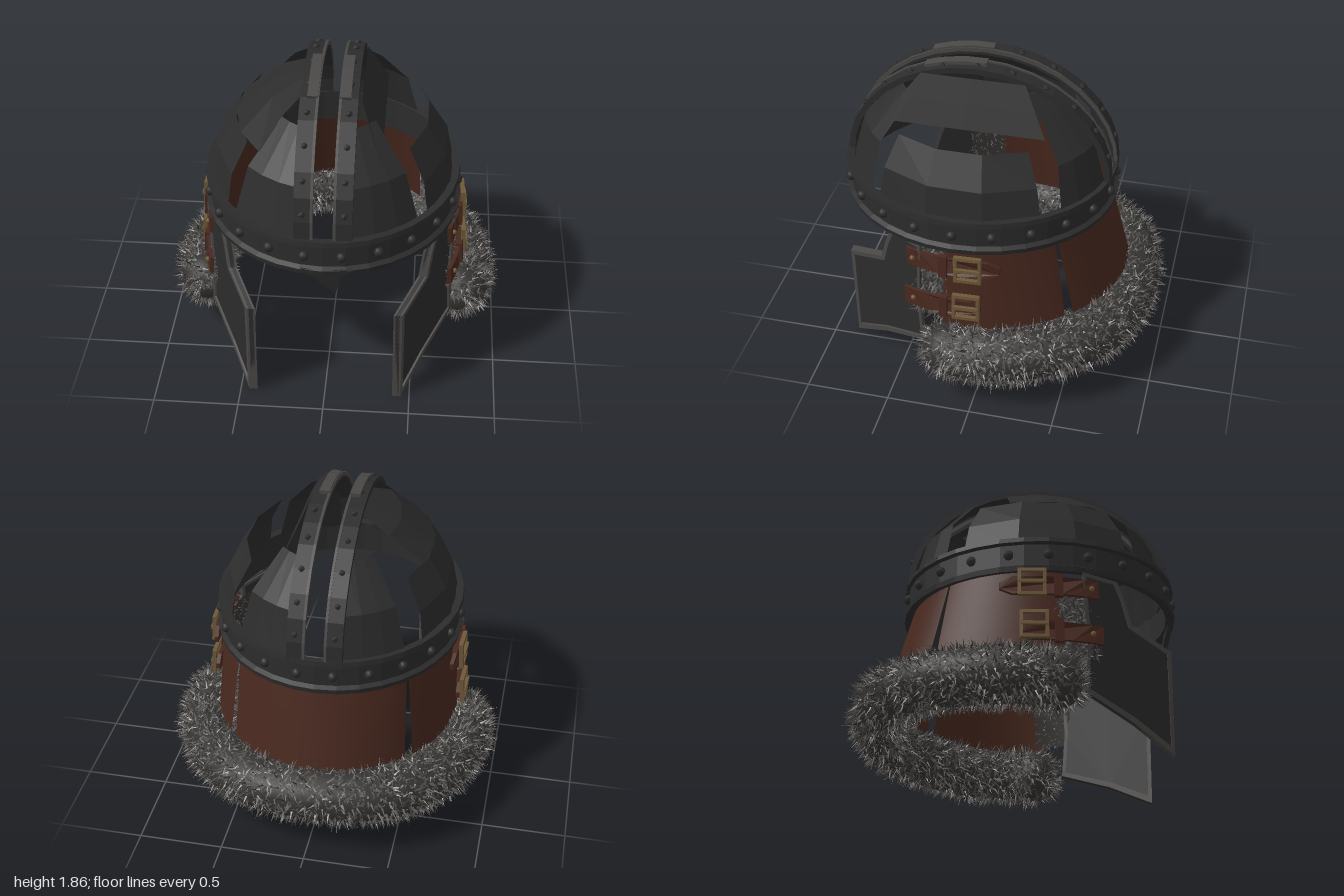
import * as THREE from 'three';
import { ParametricGeometry } from 'three/addons/geometries/ParametricGeometry.js';

const mat = (name, color, side = THREE.FrontSide) => {
  const m = new THREE.MeshStandardMaterial({ color, side });
  m.name = name;
  return m;
};
const rad = THREE.MathUtils.degToRad;

export function createModel() {
  const model = new THREE.Group();
  model.name = 'helmet';
  const iron = mat('dark iron', 0x2c2c2c, THREE.DoubleSide);
  const worn = mat('worn iron edge', 0x4a4846);
  const leather = mat('brown leather', 0x47281e, THREE.DoubleSide);
  const brass = mat('aged brass', 0x6e5838);
  const furDark = mat('dark fur', 0x353331, THREE.DoubleSide);
  const furGrey = mat('grey fur', 0x5a5754, THREE.DoubleSide);
  const furPale = mat('pale fur tips', 0xa5a29e, THREE.DoubleSide);

  const add = (name, geo, material, parent = model) => {
    const mesh = new THREE.Mesh(geo, material);
    mesh.name = name;
    parent.add(mesh);
    return mesh;
  };
  const faceted = (g) => {
    const f = g.index ? g.toNonIndexed() : g;
    f.computeVertexNormals();
    return f;
  };
  const surface = (fn, nu, nv) => new ParametricGeometry(fn, nu, nv);

  // Plate drawn as (z, y) points on the -x side; xAt gives its inner distance from the middle
  const sidePlate = (pts, depth, xAt, hole) => {
    const shape = new THREE.Shape(pts.map((p) => new THREE.Vector2(...p)));
    if (hole) shape.holes.push(new THREE.Path(hole.map((p) => new THREE.Vector2(...p))));
    const g = new THREE.ExtrudeGeometry(shape, { depth, bevelEnabled: false });
    const p = g.attributes.position;
    for (let i = 0; i < p.count; i++) {
      const z = p.getX(i), y = p.getY(i), w = p.getZ(i);
      p.setXYZ(i, -(xAt(z, y) + w), y, z);
    }
    return faceted(g);
  };

  // Dome plates: faceted patches with open seams between them
  const dome = (deg, e) => {
    const a = rad(deg), s = Math.cos(e * Math.PI / 2);
    return new THREE.Vector3(0.71 * s ** 1.3 * Math.sin(a),
      1.17 + 0.67 * Math.sin(e * Math.PI / 2), 0.14 + 0.78 * s * Math.cos(a));
  };
  const domePlate = (name, a0, a1, e0, e1, taper0, taper1) =>
    add(name, faceted(surface((u, v, t) => {
      const lo = a0 + taper0 * v, hi = a1 - taper1 * v;
      t.copy(dome(lo + (hi - lo) * u, e0 + (e1 - e0) * v));
    }, 3, 2)), iron);
  for (const s of [1, -1]) {
    const range = (a, b) => (s > 0 ? [a, b] : [-b, -a]);
    domePlate('frontDomePlate', ...range(12, 46), 0, 0.58, 3, 3);
    domePlate('sideDomePlate', ...range(52, 127), 0, 0.38, 2, 2);
    domePlate('backDomePlate', ...range(137, 168), 0, 0.55, 3, 3);
  }
  domePlate('upperDomePlateRight', -108, -42, 0.38, 0.82, -18, 2);
  // The steep upper plate on the left side stands inside the plates below it
  add('upperDomePlateLeft', faceted(surface((u, v, t) => t.set(0.3 - 0.12 * v,
    1.53 + 0.27 * v, (0.68 - 0.22 * v) - u * (0.97 - 0.36 * v)), 2, 2)), iron);

  // Twin crest ribs with a slit between them
  const arc = (rz, ry, from = 0, to = 1, n = 16) => Array.from({ length: n + 1 }, (_, i) => {
    const a = (from + (to - from) * i / n) * Math.PI;
    return [0.14 + rz * Math.cos(a), 1.17 + ry * Math.sin(a)];
  });
  const ribShape = [...arc(0.795, 0.685), ...arc(0.76, 0.65).reverse()];
  const lipShape = [...arc(0.8, 0.695), ...arc(0.78, 0.67).reverse()];
  const capShape = [...arc(0.8, 0.705, 0.37, 0.52, 3), ...arc(0.78, 0.68, 0.37, 0.52, 3).reverse()];
  for (const s of [1, -1]) {
    const rib = new THREE.Group();
    rib.name = 'crestRib';
    rib.scale.x = s;
    model.add(rib);
    add('ribStrip', sidePlate(ribShape, 0.1, () => 0.06), iron, rib);
    add('ribLip', sidePlate(lipShape, 0.015, () => 0.055), worn, rib);
    add('ribCap', sidePlate(capShape, 0.06, () => 0.06), worn, rib);
    for (let i = 1; i < 12; i++) {
      const a = i / 12 * Math.PI;
      add('ribRivet', new THREE.IcosahedronGeometry(0.02, 0), iron, rib)
        .position.set(-0.115, 1.17 + 0.685 * Math.sin(a), 0.14 + 0.795 * Math.cos(a));
    }
  }

  // Brow band: closed ring section swept round an oval
  const section = [[-0.03, 1.0], [0.02, 0.99], [0.025, 1.02], [0.0, 1.035], [0.0, 1.165],
    [0.02, 1.175], [0.015, 1.205], [-0.03, 1.2], [-0.03, 1.0]];
  const bandPoint = (a, r, y) =>
    new THREE.Vector3((0.725 + r) * Math.sin(a), y, 0.15 + (0.8 + r) * Math.cos(a));
  add('browBand', faceted(surface((u, v, t) => {
    const [r, y] = section[Math.round(v * 8)];
    t.copy(bandPoint(u * Math.PI * 2, r, y));
  }, 36, 8)), iron);
  for (let i = 0; i < 22; i++) {
    const a = (i + 0.5) / 22 * Math.PI * 2;
    add('bandRivet', new THREE.SphereGeometry(0.03, 7, 5), iron)
      .position.copy(bandPoint(a, 0.004, 1.1));
  }

  // Pointed nose guard under the band
  const nose = new THREE.Shape([[-0.12, 1.03], [-0.04, 0.95], [0.07, 0.83], [0.1, 0.98], [0.16, 1.03]]
    .map((p) => new THREE.Vector2(...p)));
  const noseMesh = add('noseGuard', new THREE.ExtrudeGeometry(nose,
    { depth: 0.03, bevelEnabled: false }), iron);
  noseMesh.geometry.translate(0, -1.0, 0);
  noseMesh.position.set(0, 1.0, 0.93);
  noseMesh.rotation.x = 0.2;

  // Leather neck guard, flaring downward round the back, in three pieces with open seams
  const neck = (deg, v, out = 0) => {
    const a = rad(deg), back = (1 - Math.cos(a)) / 2;
    const low = 0.37 + 0.13 * back;
    return new THREE.Vector3((0.70 + 0.05 * v + out) * Math.sin(a), 1.0 + (low - 1.0) * v,
      0.1 + (0.72 + 0.14 * v + out) * Math.cos(a));
  };
  for (const [a0, a1, open0, open1] of [[82, 134, 0, 1], [135, 225, 1, 1], [226, 278, 1, 0]])
    add('neckGuard', surface((u, v, t) => {
      const gap = 1.6 * (1 - v), lo = a0 + open0 * gap, hi = a1 - open1 * gap;
      t.copy(neck(lo + (hi - lo) * u, 1 - v));
    }, 14, 3), leather);

  // Cheek guards, straps and buckles: made for one side and mirrored
  const cheekX = (z) => 0.66 - 0.54 * (z - 0.4);
  const cheek = [[0.34, 0.99], [0.36, 0.55], [0.34, 0.27], [0.62, 0.15], [0.86, 0.01],
    [0.87, 0.64], [0.63, 0.74], [0.59, 0.88], [0.55, 0.99]];
  const inner = [[0.36, 0.97], [0.38, 0.55], [0.36, 0.29], [0.63, 0.18], [0.84, 0.06],
    [0.845, 0.62], [0.61, 0.72], [0.57, 0.87], [0.53, 0.97]];
  const strapX = (z, y) => 0.735 + (0.95 - y) * 0.06 - 0.5 * (z - 0.1) ** 2;
  const strapOutline = (z0, z1, y, h) => {
    const top = [], bottom = [];
    for (let i = 0; i <= 8; i++) {
      const z = z0 + (z1 - z0) * i / 8;
      const half = h / 2 * (i === 0 ? 0.35 : 1);
      top.push([z, y + half]);
      bottom.unshift([z, y - half]);
    }
    return [...top, ...bottom];
  };
  const rect = (z, y, w, h) => [[z - w, y - h], [z + w, y - h], [z + w, y + h], [z - w, y + h]];
  for (const s of [1, -1]) {
    const side = new THREE.Group();
    side.name = s > 0 ? 'rightFittings' : 'leftFittings';
    side.scale.x = s;
    model.add(side);
    add('cheekGuard', sidePlate(cheek, 0.025, cheekX), iron, side);
    add('cheekRim', sidePlate(cheek, 0.05, (z) => cheekX(z) - 0.012, inner), worn, side);
    for (const [z0, z1, y, zb, yb] of [[-0.13, 0.43, 0.89, 0.05, 0.9], [-0.02, 0.45, 0.605, 0.06, 0.635]]) {
      add('strap', sidePlate(strapOutline(z0, z1, y, 0.11), 0.022, strapX), leather, side);
      add('strapLoop', sidePlate(rect(0.2, y, 0.025, 0.07), 0.035, strapX), leather, side);
      add('buckle', sidePlate(rect(zb, yb, 0.08, 0.085), 0.025, (z, yy) => strapX(z, yy) + 0.025,
        rect(zb, yb, 0.062, 0.066)), brass, side);
      add('bucklePin', sidePlate(rect(zb, yb, 0.075, 0.01), 0.02, (z, yy) => strapX(z, yy) + 0.04), brass, side);
      add('strapStud', new THREE.SphereGeometry(0.016, 7, 5), brass, side)
        .position.set(-strapX(0.39, y) - 0.025, y, 0.39);
    }
  }

  // Fur roll along the hem, with rounded ends
  const half = [[0.79, 0.3, 0.17], [0.82, 0.31, 0.0], [0.77, 0.32, -0.27], [0.62, 0.335, -0.54],
    [0.36, 0.35, -0.74]];
  const path = new THREE.CatmullRomCurve3([
    ...half.map((p) => new THREE.Vector3(...p)), new THREE.Vector3(0, 0.355, -0.8),
    ...half.map(([x, y, z]) => new THREE.Vector3(-x, y, z)).reverse()]);
  add('furRoll', new THREE.TubeGeometry(path, 60, 0.155, 14), furDark);
  for (const s of [1, -1])
    add('furRollEnd', new THREE.SphereGeometry(0.16, 14, 10), furDark).position.set(0.79 * s, 0.3, 0.17);

  // Fur strands: thin triangles lying outward over the fur
  let seed = 7;
  const rnd = () => (seed = (seed * 16807) % 2147483647) / 2147483647;
  const up = new THREE.Vector3(0, 1, 0);
  const strand = (pts, base, out, lean, lift) => {
    const wide = new THREE.Vector3().crossVectors(lean, out).setLength(0.006);
    const tip = base.clone().addScaledVector(out, lift).add(lean);
    pts.push(base.clone().sub(wide), base.clone().add(wide), tip);
  };
  const lean = (size) => new THREE.Vector3(rnd() - 0.5, rnd() - 0.6, rnd() - 0.5).setLength(size);
  const strandGeometry = (pts) => {
    const g = new THREE.BufferGeometry().setFromPoints(pts);
    g.computeVertexNormals();
    return g;
  };
  const rollStrands = (count) => {
    const pts = [];
    for (let i = 0; i < count; i++) {
      const t = rnd() * 1.12 - 0.06, on = Math.min(1, Math.max(0, t));
      const c = path.getPoint(on), tan = path.getTangent(on);
      const across = new THREE.Vector3().crossVectors(up, tan).normalize();
      const a = rnd() * Math.PI * 2;
      const out = across.multiplyScalar(Math.cos(a)).addScaledVector(up, Math.sin(a));
      if (t !== on) out.addScaledVector(tan, Math.sign(t) * rnd() * 2.5).normalize();
      strand(pts, c.addScaledVector(out, 0.157), out, lean(0.045), 0.008 + rnd() * 0.02);
    }
    return strandGeometry(pts);
  };
  add('darkFurStrands', rollStrands(4000), furDark);
  add('greyFurStrands', rollStrands(9000), furGrey);
  add('paleFurStrands', rollStrands(1500), furPale);

  // Fur lining showing between neck guard and cheek guards
  for (const s of [1, -1]) {
    add('furLining', surface((u, v, t) =>
      t.copy(neck(s * (68 + 16 * u), 0.9 - 0.8 * v, -0.015)), 4, 4), furDark);
    const pts = [];
    for (let i = 0; i < 500; i++) {
      const deg = s * (68 + 16 * rnd());
      const out = new THREE.Vector3(Math.sin(rad(deg)), 0, Math.cos(rad(deg)));
      strand(pts, neck(deg, 0.1 + 0.8 * rnd(), -0.01), out, lean(0.045), 0.012);
    }
    add('liningStrands', strandGeometry(pts), furGrey);
  }

  return model;
}
